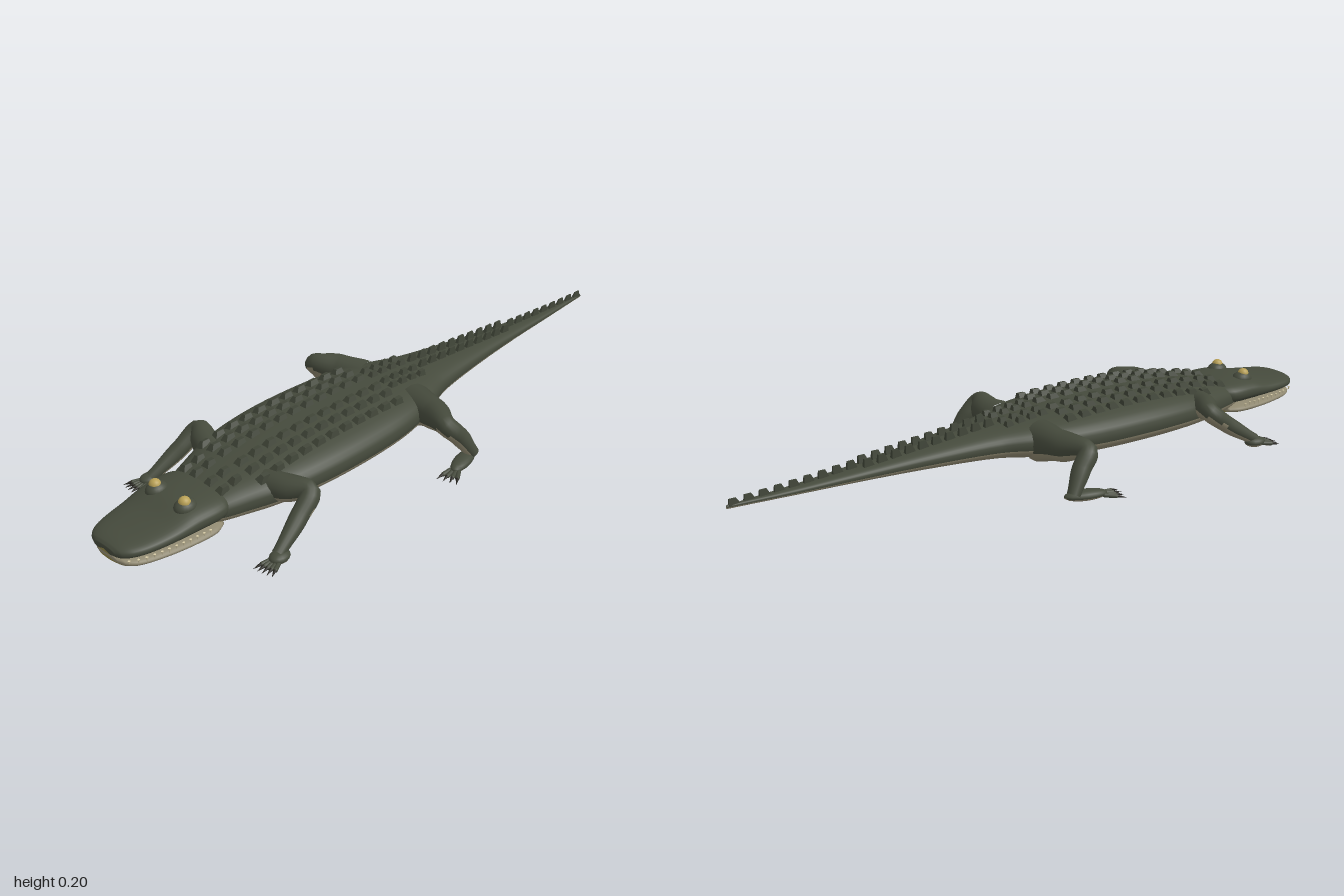
import * as THREE from 'three';
import { mergeGeometries } from 'three/addons/utils/BufferGeometryUtils.js';

const mat = (name, color) => Object.assign(new THREE.MeshStandardMaterial({ color }), { name });

// Stations: [z, half width, bottom y, top y], from tail to nose
const BODY = [[-1, 0.004, 0.104, 0.114], [-0.8, 0.023, 0.1, 0.122], [-0.6, 0.043, 0.096, 0.135], [-0.4, 0.07, 0.09, 0.152],
  [-0.2, 0.107, 0.08, 0.17], [-0.1, 0.145, 0.068, 0.18], [0, 0.178, 0.058, 0.186], [0.12, 0.195, 0.051, 0.19],
  [0.3, 0.2, 0.049, 0.19], [0.45, 0.188, 0.049, 0.183], [0.55, 0.165, 0.049, 0.172], [0.62, 0.14, 0.05, 0.162],
  [0.68, 0.118, 0.054, 0.15], [0.74, 0.09, 0.065, 0.135]];
const HEAD = [[0.64, 0.09, 0.085, 0.145], [0.69, 0.123, 0.076, 0.154], [0.78, 0.122, 0.074, 0.152], [0.85, 0.114, 0.077, 0.134],
  [0.92, 0.102, 0.078, 0.125], [0.965, 0.086, 0.079, 0.121], [0.99, 0.064, 0.082, 0.115], [1, 0.04, 0.088, 0.107]];
const JAW = [[0.68, 0.1, 0.05, 0.076], [0.72, 0.118, 0.045, 0.08], [0.8, 0.115, 0.044, 0.078], [0.88, 0.104, 0.046, 0.078],
  [0.95, 0.086, 0.05, 0.079], [0.98, 0.062, 0.054, 0.079], [0.99, 0.035, 0.06, 0.076]];

// Smooth interpolation between stations
function section(st, z) {
  let i = 0;
  while (i < st.length - 2 && z > st[i + 1][0]) i++;
  const a = st[i], b = st[i + 1], p = st[i - 1] || a, q = st[i + 2] || b, h = b[0] - a[0];
  const t = THREE.MathUtils.clamp((z - a[0]) / h, 0, 1);
  return [1, 2, 3].map((k) => {
    const m0 = (b[k] - p[k]) / (b[0] - p[0]) * h, m1 = (q[k] - a[k]) / (q[0] - a[0]) * h;
    return (2 * t ** 3 - 3 * t * t + 1) * a[k] + (t ** 3 - 2 * t * t + t) * m0 + (3 * t * t - 2 * t ** 3) * b[k] + (t ** 3 - t * t) * m1;
  });
}

const POW = 0.82;
const spow = (v) => Math.sign(v) * Math.abs(v) ** POW;

// Closed skin through the stations; pick(z, angle) gives the material index
function loft(st, steps, pick, m = 40) {
  const zs = [];
  st.slice(1).forEach((b, i) => { for (let k = 0; k < steps; k++) zs.push(st[i][0] + (b[0] - st[i][0]) * k / steps); });
  zs.push(st.at(-1)[0]);
  const pos = [], faces = [[], [], []];
  zs.forEach((z) => {
    const [w, lo, hi] = section(st, z);
    for (let j = 0; j < m; j++) {
      const a = j / m * Math.PI * 2;
      pos.push(w * spow(Math.cos(a)), (lo + hi) / 2 + (hi - lo) / 2 * spow(Math.sin(a)), z);
    }
  });
  const n = zs.length, c0 = n * m;
  for (const z of [zs[0], zs[n - 1]]) { const [, lo, hi] = section(st, z); pos.push(0, (lo + hi) / 2, z); }
  for (let j = 0; j < m; j++) {
    const k = (j + 1) % m, ang = (j + 0.5) / m * 360;
    for (let i = 0; i < n - 1; i++) {
      const a = i * m + j, b = i * m + k;
      faces[pick((zs[i] + zs[i + 1]) / 2, ang)].push(a, b, b + m, a, b + m, a + m);
    }
    faces[pick(zs[0], ang)].push(c0, k, j);
    faces[pick(zs[n - 1], ang)].push(c0 + 1, (n - 1) * m + j, (n - 1) * m + k);
  }
  const g = new THREE.BufferGeometry();
  g.setAttribute('position', new THREE.Float32BufferAttribute(pos, 3));
  grouped(g, faces).computeVertexNormals();
  return g;
}

function grouped(g, faces) {
  g.setIndex(faces.flat());
  let start = 0;
  g.clearGroups();
  faces.forEach((f, i) => { if (f.length) g.addGroup(start, f.length, i); start += f.length; });
  return g;
}

// Second material on faces that look down
function paleUnderside(g, limit) {
  const faces = [[], []], ix = g.index.array, N = g.attributes.normal;
  for (let q = 0; q < ix.length; q += 6) {
    const f = [...ix.slice(q, q + 6)];
    faces[f.reduce((s, id) => s + N.getY(id), 0) / f.length < limit ? 1 : 0].push(...f);
  }
  return grouped(g, faces);
}

// Tapered tube along [x, y, z, radius] points
function limb(pts) {
  const curve = new THREE.CatmullRomCurve3(pts.map((p) => new THREE.Vector3(...p)), false, 'centripetal');
  const n = 28, m = 16, g = new THREE.TubeGeometry(curve, n, 1, m), P = g.attributes.position, N = g.attributes.normal;
  const lens = curve.getLengths(200), v = new THREE.Vector3();
  const marks = pts.map((_, i) => lens[Math.round(i * 200 / (pts.length - 1))] / lens[200]);
  for (let i = 0; i <= n; i++) {
    let k = 0;
    while (k < pts.length - 2 && i / n > marks[k + 1]) k++;
    const t = THREE.MathUtils.smoothstep(i / n, marks[k], marks[k + 1]);
    const r = THREE.MathUtils.lerp(pts[k][3], pts[k + 1][3], t), c = curve.getPointAt(i / n);
    for (let j = 0; j <= m; j++) {
      const id = i * (m + 1) + j;
      v.fromBufferAttribute(N, id).multiplyScalar(r).add(c);
      P.setXYZ(id, v.x, v.y, v.z);
    }
  }
  return paleUnderside(g, -0.22);
}

// Ridged plate leaning towards the tail
function scute(w, h, l) {
  const g = new THREE.BoxGeometry(w, h, l).translate(0, h / 2, 0).toNonIndexed(), p = g.attributes.position;
  for (let i = 0; i < p.count; i++) if (p.getY(i) > h / 2) p.setXYZ(i, p.getX(i) * 0.45, h, p.getZ(i) * 0.6 - l * 0.15);
  g.computeVertexNormals();
  return g;
}

const backY = (x, z) => {
  const [w, lo, hi] = section(BODY, z), c = Math.min(0.98, Math.abs(x) / w) ** (1 / POW);
  return (lo + hi) / 2 + (hi - lo) / 2 * Math.sqrt(1 - c * c) ** POW;
};

export function createModel() {
  const root = new THREE.Group();
  root.name = 'reptile';
  const hide = mat('dark green hide', 0x454a3c), plate = mat('dark plates', 0x3f4437), belly = mat('pale belly', 0x8f8870);
  const throat = mat('olive throat', 0x91864a), gold = mat('gold eye', 0xb8a055), black = mat('dark claw', 0x25231e), ivory = mat('ivory tooth', 0xd6cba6);
  const add = (name, geo, material, parent = root) => {
    const mesh = new THREE.Mesh(geo, material);
    mesh.name = name;
    parent.add(mesh);
  };

  // Trunk, tail, skull and lower jaw
  add('trunkAndTail', loft(BODY, 6, (z, a) => {
    if (a < 187 || a > 353) return 0;
    return z > 0.57 && a > 205 && a < 335 ? 2 : 1;
  }), [hide, belly, throat]);
  add('upperHead', loft(HEAD, 5, (z, a) => (a > 235 && a < 305 ? 1 : 0)), [hide, throat]);
  add('lowerJaw', loft(JAW, 5, (z, a) => (a > 198 && a < 342 ? 1 : 0)), [belly, throat]);

  // Rows of back plates, paired tail plates, then a single tail crest
  const plates = [], crest = [];
  const place = (list, x, z, w, h, l) => {
    const e = 0.004, rz = Math.atan2(backY(x + e, z) - backY(x - e, z), 2 * e) * 0.7;
    list.push(scute(w, h, l).rotateZ(rz).translate(x, backY(x, z) - 0.004, z));
  };
  for (const s of [-1, 1]) {
    for (let i = 0; i < 11; i++) for (const x of [0.034, 0.078, 0.121]) place(plates, s * x, 0.035 + i * 0.052, 0.028, 0.018, 0.037);
    for (const z of [0.615, 0.66]) for (const x of [0.03, 0.075]) place(plates, s * x, z, 0.028, 0.018, 0.034);
    for (let i = 0; i < 4; i++) for (const x of [0.024, 0.057]) place(plates, s * x, -0.018 - i * 0.04, 0.022, 0.018, 0.029);
    for (let i = 0; i < 10; i++) place(crest, s * (0.022 - i * 0.0008), -0.185 - i * 0.044, 0.014, 0.026, 0.034);
  }
  for (let i = 0; i < 9; i++) place(crest, 0, -0.625 - i * 0.044, 0.01, 0.027 - i * 0.001, 0.034);
  add('backPlates', mergeGeometries(plates), plate);
  add('tailCrest', mergeGeometries(crest), plate);

  // Teeth follow the edge of the mouth
  const teeth = [];
  for (const s of [-1, 1]) {
    for (let i = 0; i < 12; i++) {
      const z = 0.74 + i * 0.0215, h = i % 3 ? 0.012 : 0.017;
      teeth.push(new THREE.ConeGeometry(0.004, h, 6).rotateX(Math.PI).translate(s * section(HEAD, z)[0] * 0.93, 0.081 - h / 2, z));
    }
  }
  add('teeth', mergeGeometries(teeth), ivory);

  for (const s of [-1, 1]) {
    const side = s > 0 ? 'left' : 'right';
    // Eyes set into raised sockets
    add(side + 'Brow', new THREE.SphereGeometry(0.03, 20, 14).scale(0.95, 0.85, 1.15).translate(s * 0.059, 0.142, 0.774), hide);
    add(side + 'Eye', new THREE.SphereGeometry(0.0175, 18, 12).translate(s * 0.061, 0.1595, 0.777), gold);

    // Legs: path points with radii, then foot position, heading and toe count
    const legs = [
      ['Front', [[0.1, 0.12, 0.53, 0.046], [0.165, 0.13, 0.515, 0.04], [0.229, 0.132, 0.485, 0.029], [0.247, 0.085, 0.545, 0.026], [0.266, 0.024, 0.64, 0.018]], [0.272, 0.019, 0.65], 0.15, 5],
      ['Hind', [[0.1, 0.122, -0.06, 0.062], [0.19, 0.13, -0.05, 0.046], [0.274, 0.131, -0.02, 0.03], [0.291, 0.09, -0.055, 0.028], [0.308, 0.026, -0.095, 0.02]], [0.322, 0.019, -0.004], 0.28, 4],
    ];
    for (const [name, path, at, turn, toes] of legs) {
      const leg = new THREE.Group();
      leg.name = side + name + 'Leg';
      root.add(leg);
      add('limb', limb(path.map(([x, y, z, r]) => [s * x, y, z, r])), [hide, belly], leg);
      const foot = new THREE.Group();
      foot.name = 'foot';
      foot.position.set(s * at[0], at[1], at[2]);
      foot.rotation.y = s * turn;
      leg.add(foot);
      const len = name === 'Hind' ? 0.066 : 0.034, back = name === 'Hind' ? -0.05 : -0.012;
      add('sole', paleUnderside(new THREE.SphereGeometry(1, 16, 12).scale(0.026, 0.016, len).translate(0, 0, back), -0.3), [hide, belly], foot);
      for (let i = 0; i < toes; i++) {
        const a = (i / (toes - 1) - 0.5) * 1.1;
        const toe = new THREE.Group();
        toe.name = 'toe';
        toe.position.set(Math.sin(a) * 0.022, -0.006, 0.002);
        toe.rotation.y = a * 0.6;
        foot.add(toe);
        add('digit', paleUnderside(new THREE.CapsuleGeometry(0.0068, 0.032, 4, 8).rotateX(Math.PI / 2 + 0.08).translate(0, 0, 0.018), -0.4), [hide, belly], toe);
        add('claw', new THREE.ConeGeometry(0.005, 0.026, 8).rotateX(Math.PI / 2 + 0.18).translate(0, -0.003, 0.05), black, toe);
      }
    }
  }
  return root;
}
